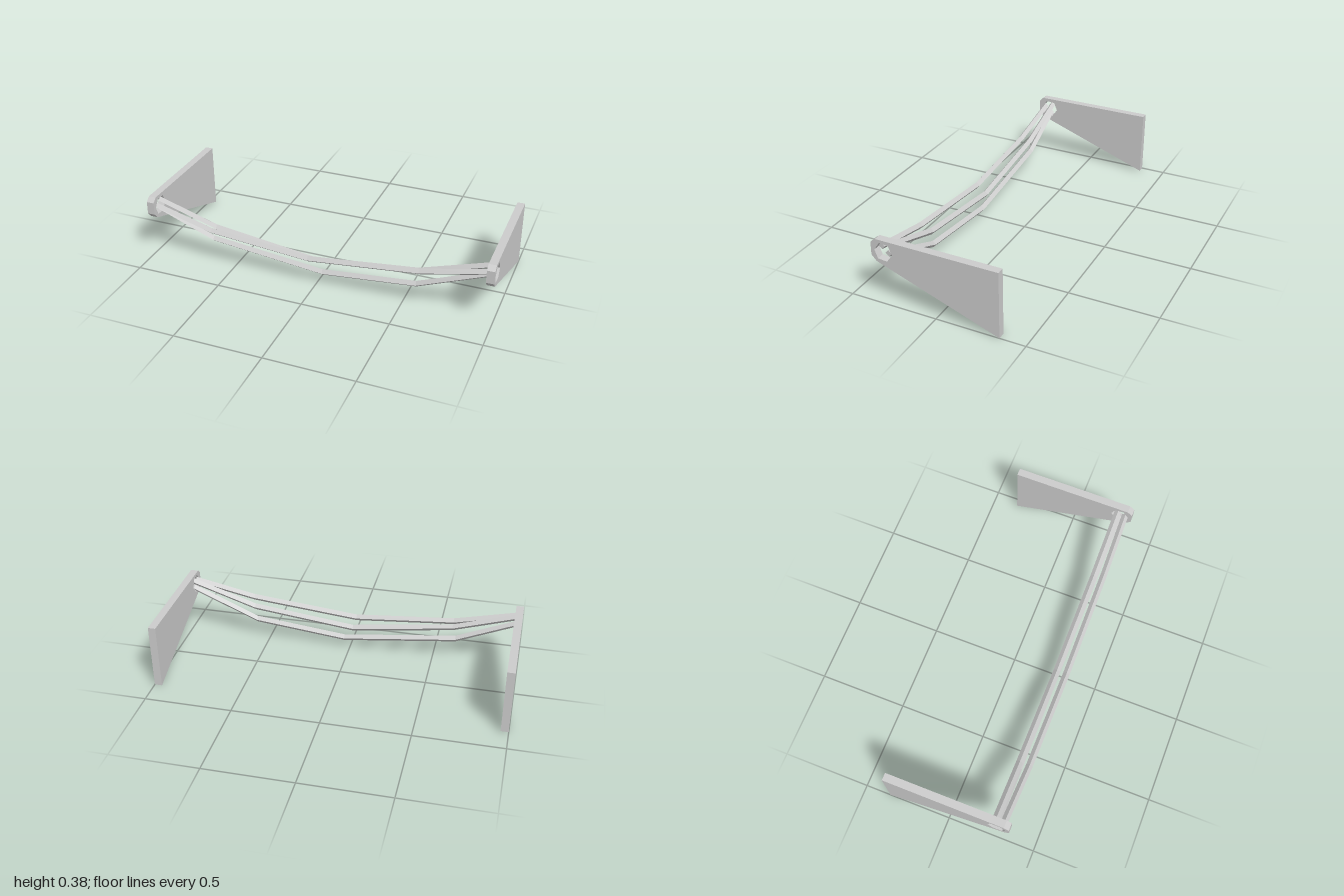
import * as THREE from 'three';

const material = new THREE.MeshStandardMaterial({ color: 0xcccccc, flatShading: true });
const T = 0.043; // bracket thickness

// Tapered side plate with a six-sided cable hole, drawn in (z, y)
function bracketGeometry() {
  const pts = (list) => list.map(([z, y]) => new THREE.Vector2(z, y));
  const shape = new THREE.Shape(pts([
    [-0.357, 0], [0.33, 0.25], [0.358, 0.281], [0.358, 0.354], [0.33, 0.378], [-0.357, 0.378],
  ]));
  shape.holes.push(new THREE.Path(pts([
    [0.307, 0.361], [0.255, 0.355], [0.235, 0.308], [0.267, 0.263], [0.32, 0.268], [0.338, 0.315],
  ])));
  const g = new THREE.ExtrudeGeometry(shape, { depth: T, bevelEnabled: false });
  return g.rotateY(-Math.PI / 2);
}

// Four-sided cable swept through a few points, diamond cross-section
function cableGeometry(path, r = 0.019) {
  const pos = [], index = [], n = path.length;
  for (const [x, y, z] of path) {
    for (let k = 0; k < 4; k++) {
      const a = k * Math.PI / 2 + 0.1;
      pos.push(x, y + r * Math.cos(a), z + r * Math.sin(a));
    }
  }
  for (let i = 0; i < n - 1; i++) {
    for (let k = 0; k < 4; k++) {
      const a = i * 4 + k, b = i * 4 + (k + 1) % 4;
      index.push(a, b, b + 4, a, b + 4, a + 4);
    }
  }
  const e = (n - 1) * 4;
  index.push(0, 2, 1, 0, 3, 2, e, e + 1, e + 2, e, e + 2, e + 3);
  const indexed = new THREE.BufferGeometry();
  indexed.setAttribute('position', new THREE.Float32BufferAttribute(pos, 3));
  indexed.setIndex(index);
  const g = indexed.toNonIndexed();
  g.computeVertexNormals();
  return g;
}

export function createModel() {
  const group = new THREE.Group();
  const add = (name, geometry, x = 0) => {
    const mesh = new THREE.Mesh(geometry, material);
    mesh.name = name;
    mesh.position.x = x;
    group.add(mesh);
  };

  // Side brackets
  const plate = bracketGeometry();
  add('leftBracket', plate, 1);
  add('rightBracket', plate, -1 + T);

  // Sagging cables strung between the bracket holes
  const E = 0.965;
  add('frontCable', cableGeometry([
    [-E, 0.322, 0.317], [-0.61, 0.232, 0.325], [-0.03, 0.181, 0.326], [0.6, 0.244, 0.323], [E, 0.322, 0.317],
  ]));
  add('backCable', cableGeometry([
    [-E, 0.337, 0.271], [-0.61, 0.225, 0.268], [-0.02, 0.143, 0.266], [0.58, 0.212, 0.268], [E, 0.337, 0.271],
  ]));
  add('lowCable', cableGeometry([
    [-E, 0.289, 0.279], [-0.63, 0.149, 0.27], [0.03, 0.071, 0.263], [0.57, 0.126, 0.268], [E, 0.289, 0.279],
  ]));
  return group;
}
